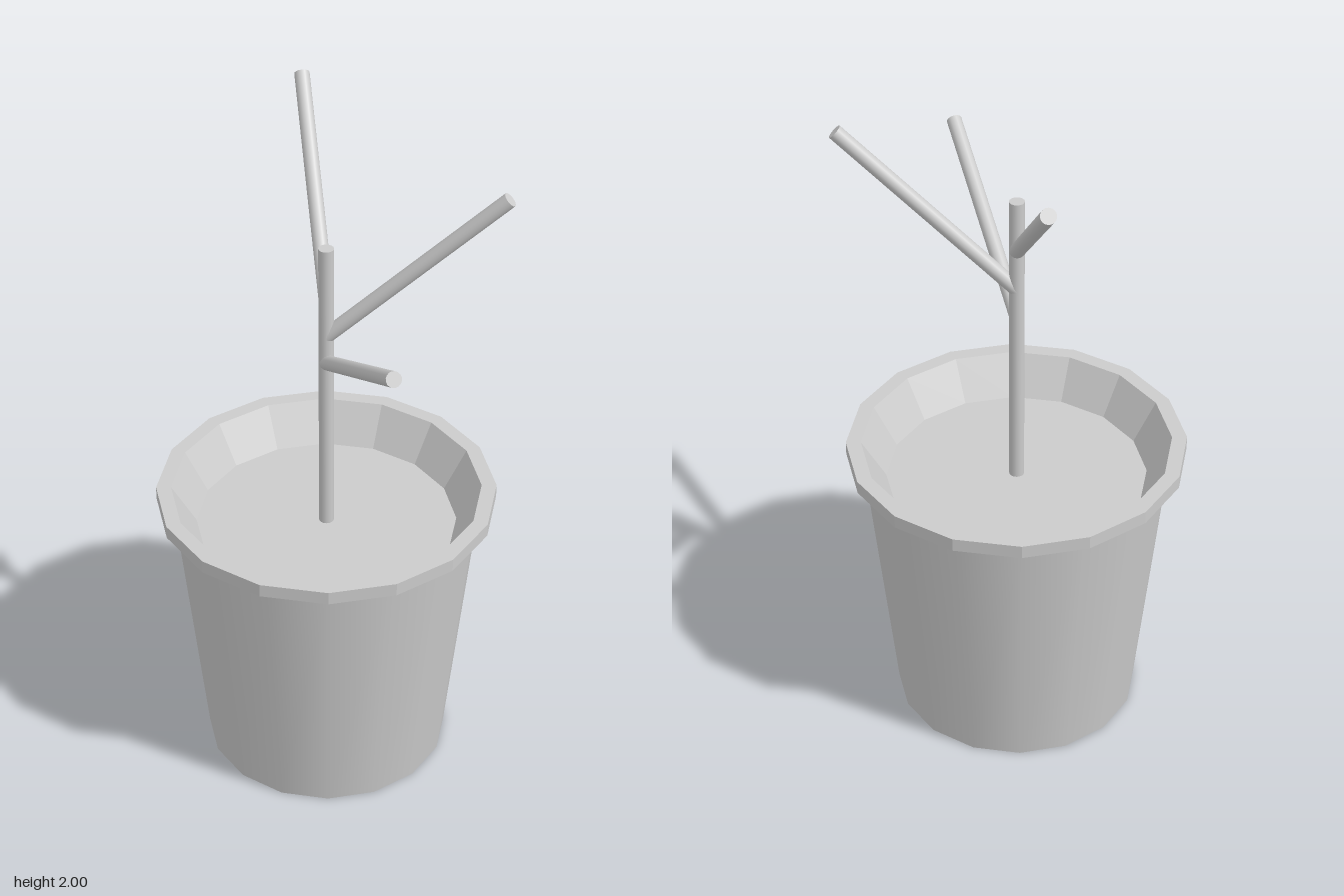
import * as THREE from 'three';

const SIDES = 16;
const CENTRE_X = -0.018;
const STEM_RADIUS = 0.022;

const smooth = new THREE.MeshStandardMaterial({ color: 0xcccccc });
const faceted = new THREE.MeshStandardMaterial({ color: 0xcccccc, flatShading: true });

function addMesh(parent, name, geometry, material) {
  const mesh = new THREE.Mesh(geometry, material);
  mesh.name = name;
  parent.add(mesh);
  return mesh;
}

// Round stick running between two points
function addStick(parent, name, from, to) {
  const a = new THREE.Vector3(...from);
  const b = new THREE.Vector3(...to);
  const dir = b.clone().sub(a);
  const geometry = new THREE.CylinderGeometry(STEM_RADIUS, STEM_RADIUS, dir.length(), SIDES);
  const stick = addMesh(parent, name, geometry, smooth);
  stick.position.copy(a).add(b).multiplyScalar(0.5);
  stick.quaternion.setFromUnitVectors(new THREE.Vector3(0, 1, 0), dir.normalize());
}

export function createModel() {
  const model = new THREE.Group();
  model.name = 'pottedPlant';

  const pot = new THREE.Group();
  pot.name = 'pot';
  pot.position.x = CENTRE_X;
  model.add(pot);

  // Tapered outer wall, smooth around its sides
  addMesh(pot, 'potWall', new THREE.CylinderGeometry(0.456, 0.367, 0.865, SIDES, 1, true), smooth)
    .position.y = 0.4325;

  // Flat underside
  addMesh(pot, 'potBase', new THREE.CircleGeometry(0.367, SIDES), faceted).rotation.x = Math.PI / 2;

  // Overhanging lip and sloping inner wall, down to the soil
  const lip = [[0.456, 0.865], [0.5, 0.865], [0.5, 0.905], [0.456, 0.905], [0.385, 0.785]];
  addMesh(pot, 'rim', new THREE.LatheGeometry(lip.map((p) => new THREE.Vector2(...p)), SIDES), faceted);

  const soil = addMesh(pot, 'soil', new THREE.CircleGeometry(0.385, SIDES), faceted);
  soil.rotation.x = -Math.PI / 2;
  soil.position.y = 0.785;

  // Trunk and its three bare branches
  const plant = new THREE.Group();
  plant.name = 'plant';
  model.add(plant);
  addStick(plant, 'trunk', [CENTRE_X, 0.785, 0], [CENTRE_X, 1.715, 0]);
  addStick(plant, 'lowerBranch', [CENTRE_X, 1.34, 0], [0.5, 1.66, 0.28]);
  addStick(plant, 'middleBranch', [CENTRE_X, 1.43, 0], [0.378, 1.903, -0.302]);
  addStick(plant, 'upperBranch', [CENTRE_X, 1.555, 0], [-0.434, 1.984, -0.326]);

  return model;
}
